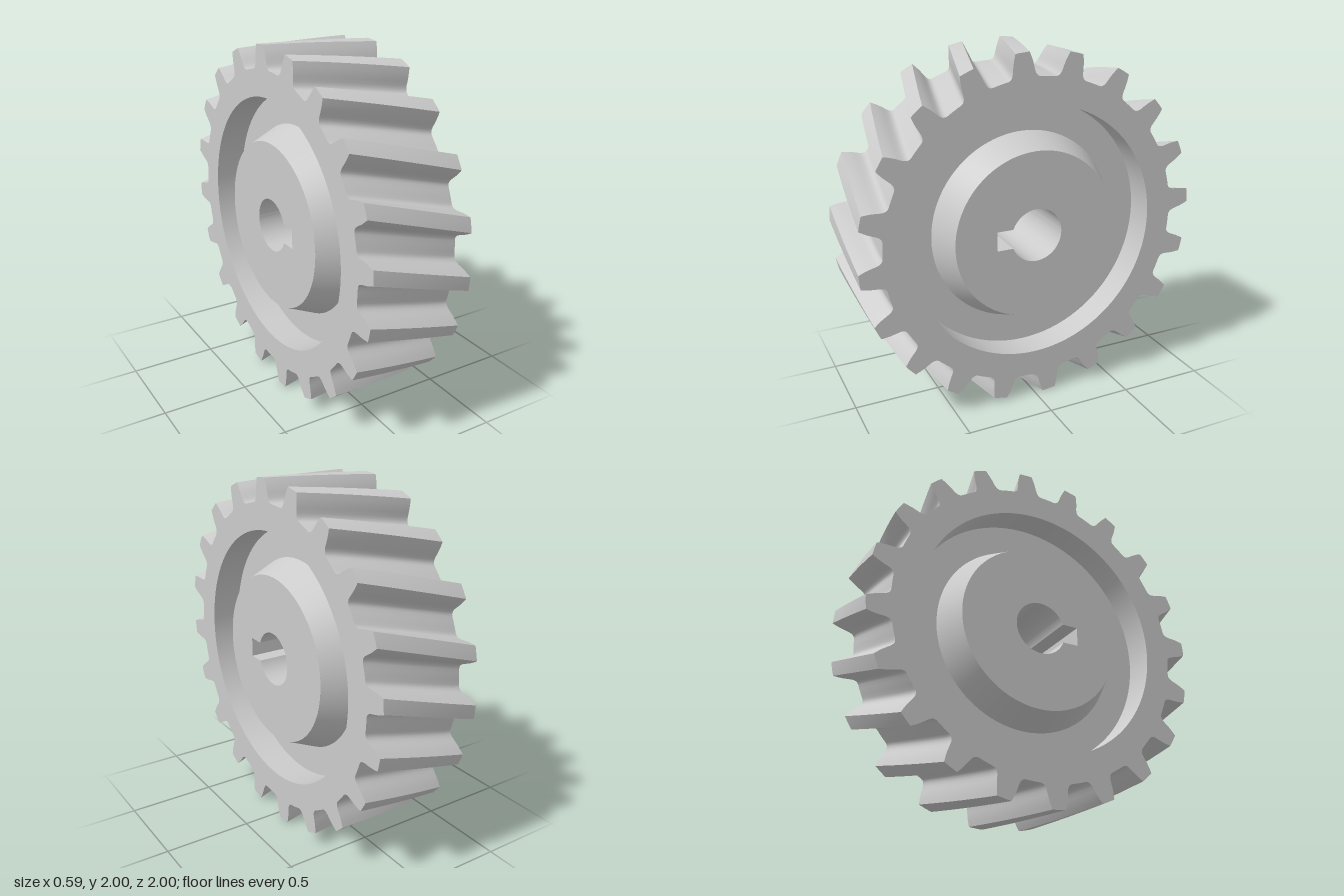
import * as THREE from 'three';
import { toCreasedNormals } from 'three/addons/utils/BufferGeometryUtils.js';

const TEETH = 20, HALF = 0.295, TWIST = 0.0908;
const RECESS_R = 0.72, WEB = 0.125, HUB_R = 0.477, HUB_BASE = 0.55;
const BORE = 0.152, KEY_HALF = 0.055, KEY_END = 0.235;

// half tooth from tip to root: [angle from tooth centre, radius]
const FLANK = [[0, 1], [0.02, 1], [0.04, 1], [0.0495, 0.975], [0.058, 0.95], [0.0645, 0.925],
  [0.07, 0.903], [0.076, 0.889], [0.085, 0.878], [0.096, 0.872], [0.11, 0.87], [0.135, 0.87]];

function gearShape() {
  const pts = [];
  for (let i = 0; i < TEETH; i++) {
    const mid = Math.PI / 2 + (i * 2 * Math.PI) / TEETH;
    const add = (a, r) => pts.push(new THREE.Vector2(r * Math.cos(mid + a), r * Math.sin(mid + a)));
    for (let k = FLANK.length - 1; k > 0; k--) add(-FLANK[k][0], FLANK[k][1]);
    for (const [a, r] of FLANK) add(a, r);
  }
  return new THREE.Shape(pts);
}

// extrude along x, centred on x = 0, with an optional helical twist
function extrudeX(shape, steps, twist) {
  const geo = new THREE.ExtrudeGeometry(shape, { depth: 2 * HALF, steps, bevelEnabled: false, curveSegments: 96 });
  geo.translate(0, 0, -HALF);
  const p = geo.attributes.position;
  for (let i = 0; i < p.count; i++) {
    const t = (twist * p.getZ(i)) / HALF, x = p.getX(i), y = p.getY(i);
    p.setXY(i, x * Math.cos(t) - y * Math.sin(t), x * Math.sin(t) + y * Math.cos(t));
  }
  geo.rotateY(Math.PI / 2);
  return toCreasedNormals(geo, 0.7);
}

export function createModel() {
  const gear = new THREE.Group();
  gear.name = 'helicalGear';
  const mat = new THREE.MeshStandardMaterial({ color: 0xcccccc });
  const add = (name, geo) => {
    const mesh = new THREE.Mesh(geo, mat);
    mesh.name = name;
    mesh.position.y = 1;
    gear.add(mesh);
    return mesh;
  };

  // toothed rim
  const rim = gearShape();
  rim.holes.push(new THREE.Path().absarc(0, 0, RECESS_R, 0, Math.PI * 2, true));
  add('toothedRim', extrudeX(rim, 12, TWIST));

  // hub core with bore and keyway
  const core = new THREE.Shape().absarc(0, 0, HUB_R, 0, Math.PI * 2, false);
  const a = Math.asin(KEY_HALF / BORE);
  const bore = new THREE.Path().absarc(0, 0, BORE, -Math.PI + a, Math.PI - a, false);
  bore.lineTo(-KEY_END, KEY_HALF);
  bore.lineTo(-KEY_END, -KEY_HALF);
  bore.closePath();
  core.holes.push(bore);
  add('hubCore', extrudeX(core, 1, 0));

  // recessed web and tapered hub side, once per face
  const profile = [[RECESS_R, WEB], [HUB_BASE, WEB], [HUB_R, HALF]].map(([r, y]) => new THREE.Vector2(r, y));
  for (const side of [1, -1]) {
    const geo = toCreasedNormals(new THREE.LatheGeometry(profile, 96), 0.7);
    geo.rotateZ((-side * Math.PI) / 2);
    add(side > 0 ? 'leftWebAndHubTaper' : 'rightWebAndHubTaper', geo);
  }
  return gear;
}
